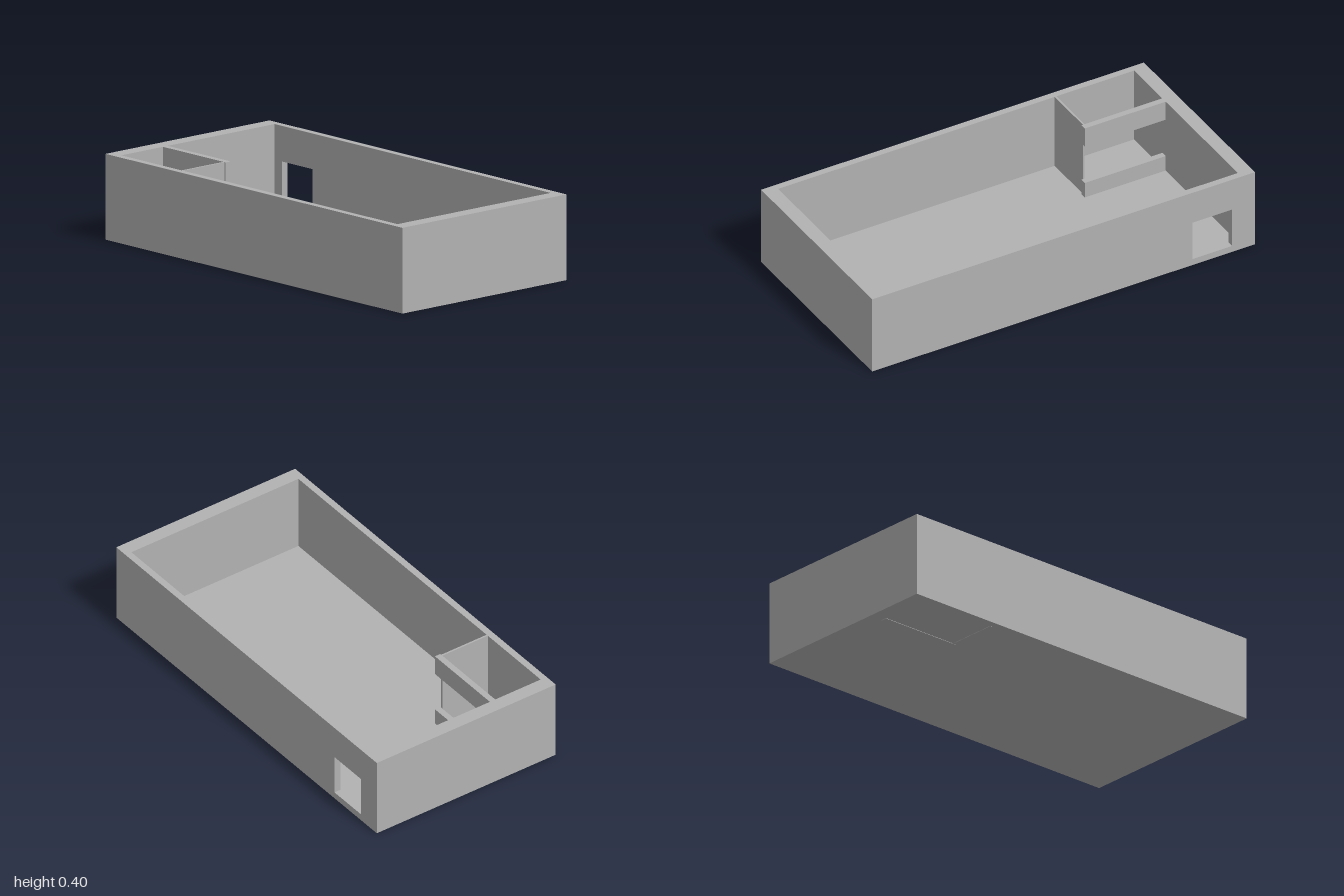
import * as THREE from 'three';

export function createModel() {
  const model = new THREE.Group();
  model.name = 'openTopBuilding';
  const plaster = new THREE.MeshStandardMaterial({ color: 0xb2b2b2 });
  plaster.name = 'grey plaster';

  const add = (name, geometry) => {
    const mesh = new THREE.Mesh(geometry, plaster);
    mesh.name = name;
    model.add(mesh);
    return mesh;
  };
  // box given by its extents along each axis
  const block = (name, [x0, x1], [y0, y1], [z0, z1]) =>
    add(name, new THREE.BoxGeometry(x1 - x0, y1 - y0, z1 - z0))
      .position.set((x0 + x1) / 2, (y0 + y1) / 2, (z0 + z1) / 2);

  const base = 0.002, top = 0.4;   // the shell sits a hair above the partition feet
  const inX = 0.93, inZ = 0.467;   // inner faces of the outer walls

  // floor slab and outer walls
  block('floor', [-inX, inX], [base, 0.02], [-inZ, inZ]);
  block('frontWall', [-1, 1], [base, top], [inZ, 0.5]);
  block('leftWall', [inX, 1], [base, top], [-inZ, inZ]);
  block('rightWall', [-1, -inX], [base, top], [-inZ, inZ]);

  // back wall with its window opening
  const rect = (Type, x0, x1, y0, y1) => new Type([
    new THREE.Vector2(x0, y0), new THREE.Vector2(x1, y0),
    new THREE.Vector2(x1, y1), new THREE.Vector2(x0, y1),
  ]);
  const wall = rect(THREE.Shape, -1, 1, base, top);
  wall.holes.push(rect(THREE.Path, -0.88, -0.675, 0.035, 0.235));
  add('backWall', new THREE.ExtrudeGeometry(wall, { depth: 0.5 - inZ, bevelEnabled: false }))
    .position.z = -0.5;

  // corner room: sill and lintel with an open band between, plus a thin side wall
  const partitionX = [-inX, -0.508], partitionZ = [0.183, 0.213];
  block('partitionSill', partitionX, [0, 0.1], partitionZ);
  block('partitionLintel', partitionX, [0.3, top], partitionZ);
  block('partitionSideWall', [-0.524, -0.515], [0, top], [partitionZ[1], inZ]);

  return model;
}
